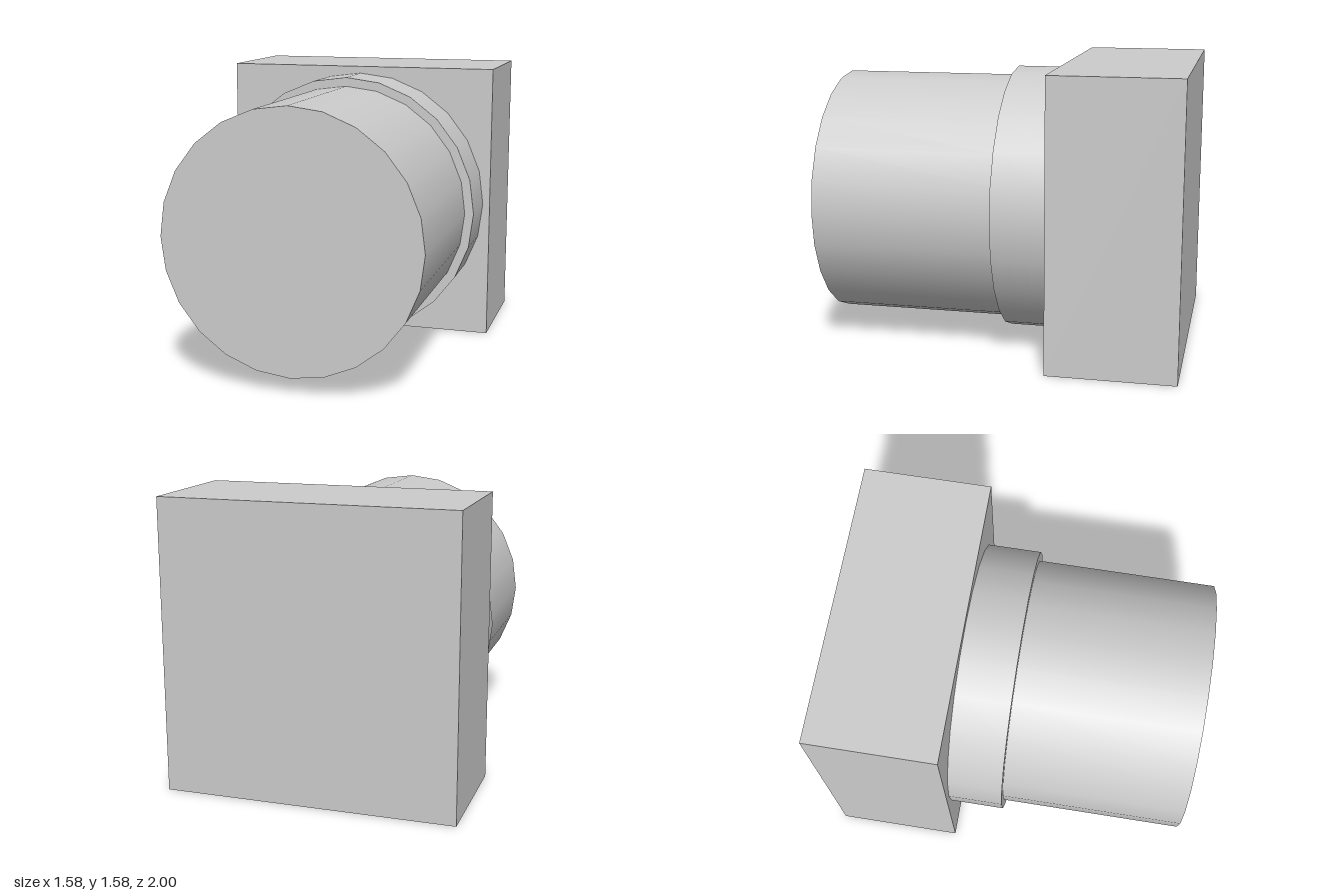
import * as THREE from 'three';

export function createModel() {
  const group = new THREE.Group();
  const grey = new THREE.MeshStandardMaterial({ color: 0xcccccc });
  grey.name = 'light grey';
  const centreY = 0.79;

  function add(name, geometry, zBack, zFront) {
    const mesh = new THREE.Mesh(geometry, grey);
    mesh.name = name;
    mesh.position.set(0, centreY, (zBack + zFront) / 2);
    group.add(mesh);
  }

  // round section lying along z
  function addRound(name, radius, zBack, zFront) {
    const geometry = new THREE.CylinderGeometry(radius, radius, zFront - zBack, 24);
    geometry.rotateX(Math.PI / 2);
    add(name, geometry, zBack, zFront);
  }

  // square block at the back, then the collar and the long shaft
  add('squareHead', new THREE.BoxGeometry(1.58, 1.58, 0.7), -1, -0.3);
  addRound('collar', 0.75, -0.3, 0);
  addRound('shaft', 0.7, 0, 1);

  return group;
}
